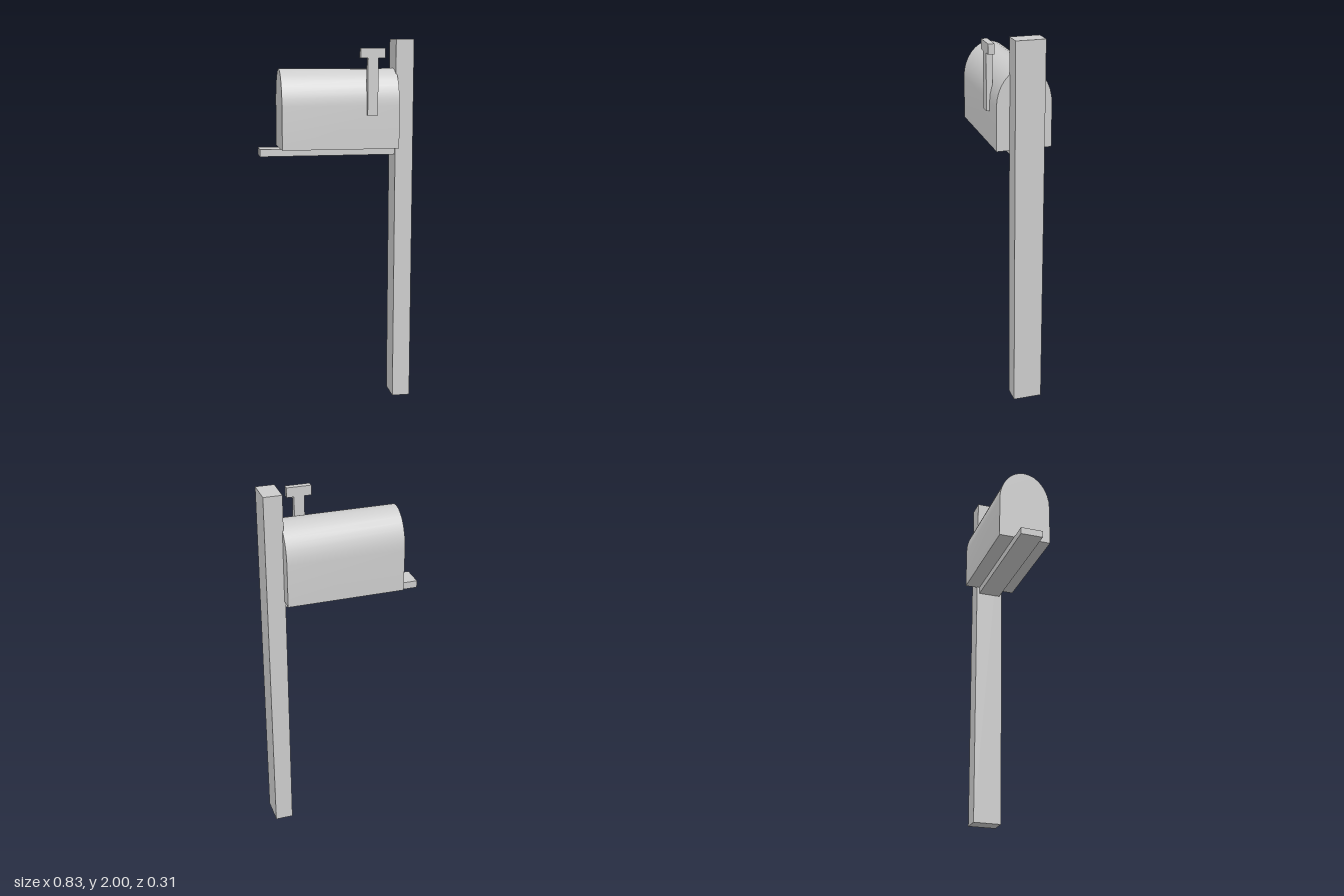
import * as THREE from 'three';
import { toCreasedNormals } from 'three/addons/utils/BufferGeometryUtils.js';

const grey = new THREE.MeshStandardMaterial({ color: 0xcccccc });
grey.name = 'grey';

// Box given by its lower and upper limits on each axis
function block(name, [x0, x1], [y0, y1], [z0, z1]) {
  const mesh = new THREE.Mesh(new THREE.BoxGeometry(x1 - x0, y1 - y0, z1 - z0), grey);
  mesh.name = name;
  mesh.position.set((x0 + x1) / 2, (y0 + y1) / 2, (z0 + z1) / 2);
  return mesh;
}

// Arched box: straight walls under a half ellipse, extruded along x
function archedBox() {
  const halfWidth = 0.146, bottom = 1.42, spring = 1.65, rise = 0.193;
  const x0 = -0.307, x1 = 0.324;
  const profile = new THREE.Shape();
  profile.moveTo(-halfWidth, bottom);
  profile.lineTo(halfWidth, bottom);
  const steps = 16;
  for (let i = 0; i <= steps; i++) {
    const a = (i / steps) * Math.PI;
    profile.lineTo(halfWidth * Math.cos(a), spring + rise * Math.sin(a));
  }
  profile.closePath();
  const geometry = new THREE.ExtrudeGeometry(profile, { depth: x1 - x0, bevelEnabled: false });
  geometry.rotateY(Math.PI / 2);
  const mesh = new THREE.Mesh(toCreasedNormals(geometry, Math.PI / 6), grey);
  mesh.name = 'mailboxBody';
  mesh.position.set(x0, 0, -0.01);
  return mesh;
}

export function createModel() {
  const model = new THREE.Group();
  model.name = 'mailbox';

  // Post and the board that carries the box
  model.add(block('post', [0.318, 0.416], [0, 2], [-0.088, 0.067]));
  model.add(block('supportBoard', [-0.417, 0.319], [1.38, 1.419], [-0.073, 0.051]));

  model.add(archedBox());

  // Raised signal flag on the front wall
  const flag = new THREE.Group();
  flag.name = 'flag';
  flag.add(block('flagStem', [0.147, 0.203], [1.6, 1.9], [0.12, 0.153]));
  flag.add(block('flagHead', [0.109, 0.241], [1.9, 1.953], [0.12, 0.153]));
  model.add(flag);

  return model;
}
